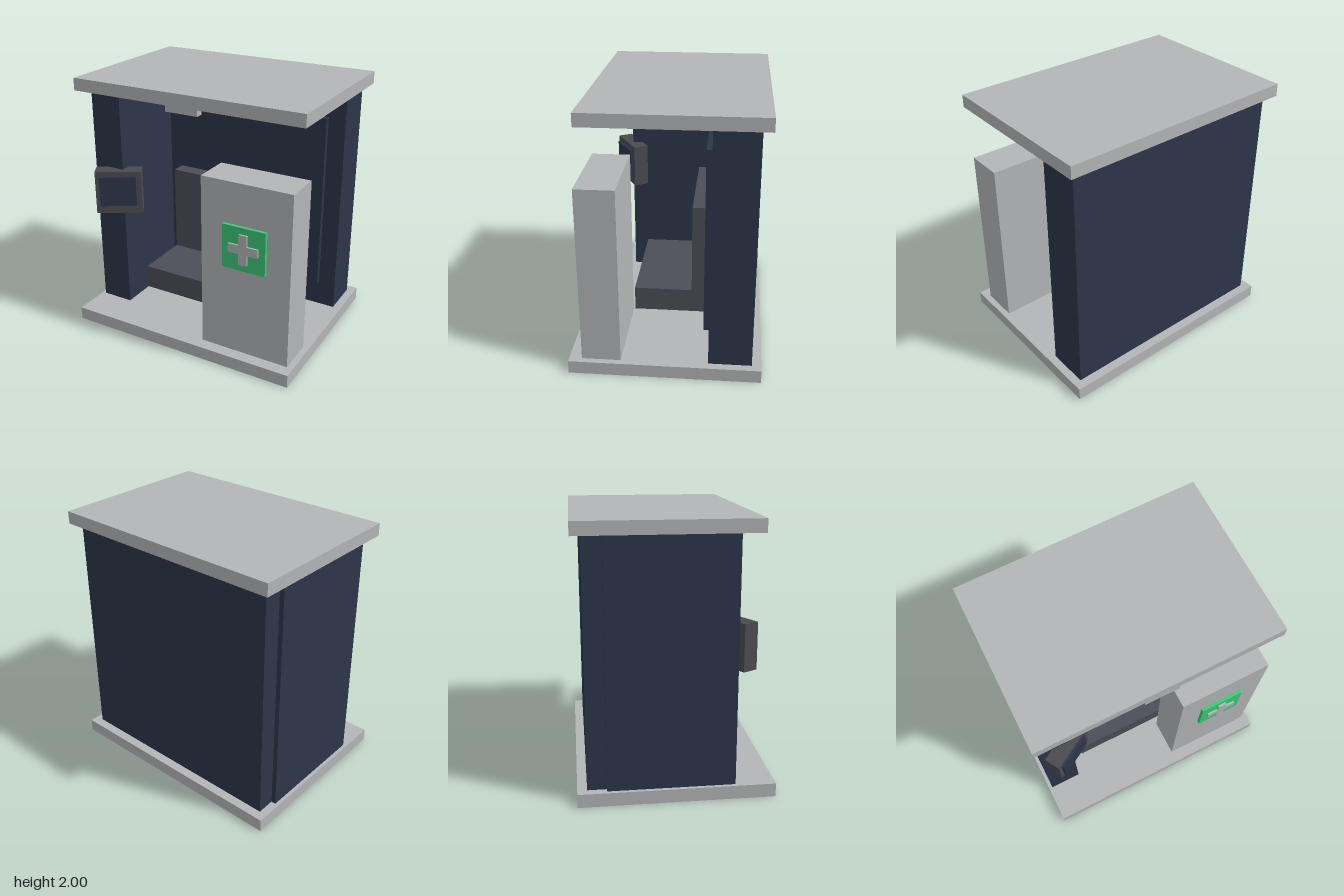
import * as THREE from 'three';

const paint = (name, color) => {
  const m = new THREE.MeshStandardMaterial({ color });
  m.name = name;
  return m;
};

export function createModel() {
  const lightGrey = paint('light grey', 0xb4b5b7);
  const navy = paint('navy', 0x2c354a);
  const seatGrey = paint('seat grey', 0x4b4f57);
  const frameGrey = paint('frame grey', 0x4a4b50);
  const green = paint('sign green', 0x3fc877);

  const booth = new THREE.Group();
  booth.name = 'booth';

  // Box given by its extents on each axis
  const box = (name, material, [x0, x1], [y0, y1], [z0, z1], parent = booth) => {
    const mesh = new THREE.Mesh(new THREE.BoxGeometry(x1 - x0, y1 - y0, z1 - z0), material);
    mesh.position.set((x0 + x1) / 2, (y0 + y1) / 2, (z0 + z1) / 2);
    mesh.name = name;
    parent.add(mesh);
    return mesh;
  };

  // Floor and roof slabs, with a small lamp under the roof's front edge
  box('floor', lightGrey, [-0.933, 0.933], [0, 0.1], [-0.71, 0.71]);
  box('roof', lightGrey, [-0.933, 0.933], [1.905, 2], [-0.71, 0.58]);
  box('roofLamp', lightGrey, [-0.13, 0.13], [1.86, 1.905], [0.52, 0.58]);

  // Walls
  box('backWall', navy, [-0.87, 0.87], [0.1, 1.905], [-0.64, -0.32]);
  box('sideWall', navy, [-0.905, -0.65], [0.1, 1.905], [-0.5, 0.42]);
  box('backPanel', navy, [-0.735, 0.735], [0.3, 1.71], [-0.32, -0.275]);

  // Bench
  box('seat', seatGrey, [-0.55, 0.32], [0.2, 0.39], [-0.32, 0.29]);
  box('backrest', seatGrey, [-0.55, 0.32], [0.39, 1.1], [-0.275, -0.16]);

  // Front cabinet with its sign
  box('cabinet', lightGrey, [0.175, 0.885], [0.1, 1.455], [0.325, 0.615]);
  box('signPlate', green, [0.36, 0.7], [0.803, 1.14], [0.615, 0.64]);

  // Cross as one extruded outline
  const r = 0.117, a = 0.033;
  const outline = [
    [-a, -r], [a, -r], [a, -a], [r, -a], [r, a], [a, a],
    [a, r], [-a, r], [-a, a], [-r, a], [-r, -a], [-a, -a],
  ].map(([x, y]) => new THREE.Vector2(x, y));
  const cross = new THREE.Mesh(
    new THREE.ExtrudeGeometry(new THREE.Shape(outline), { depth: 0.015, bevelEnabled: false }),
    lightGrey
  );
  cross.position.set(0.53, 0.973, 0.64);
  cross.name = 'signCross';
  booth.add(cross);

  // Monitor turned inward on the corner of the side wall
  const monitor = new THREE.Group();
  monitor.name = 'monitor';
  monitor.position.set(-0.685, 1.102, 0.427);
  monitor.rotation.y = Math.PI / 6;
  box('monitorFrame', frameGrey, [-0.179, 0.179], [-0.173, 0.173], [-0.06, 0.06], monitor);
  box('monitorScreen', navy, [-0.146, 0.138], [-0.107, 0.133], [0.06, 0.08], monitor);
  booth.add(monitor);

  return booth;
}
